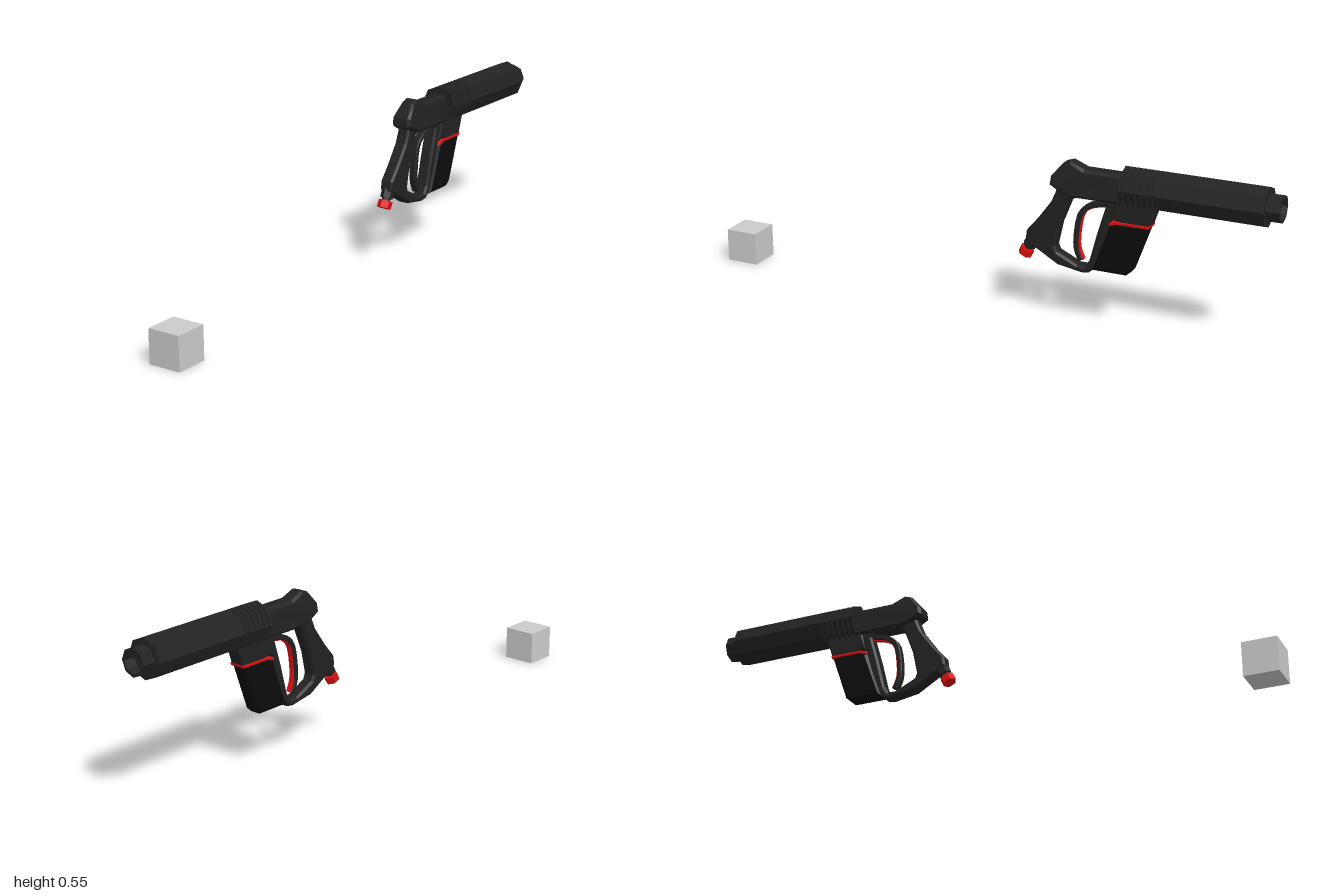
import * as THREE from 'three';

const AXIS_Y = 0.487; // height of the barrel axis

const paint = (color) => new THREE.MeshStandardMaterial({ color, flatShading: true });

export function createModel() {
  const group = new THREE.Group();
  const dark = paint(0x222222);
  const black = paint(0x0c0c0c);
  const red = paint(0xe01010);
  const grey = paint(0xcccccc);

  function add(name, geometry, material, parent = group) {
    const mesh = new THREE.Mesh(geometry, material);
    mesh.name = name;
    parent.add(mesh);
    return mesh;
  }

  // Bevelled side profile: points are [distance towards -z, height], centred on x = 0
  function profile(shape, halfWidth, bevel) {
    const geometry = new THREE.ExtrudeGeometry(shape, {
      depth: 2 * (halfWidth - bevel), bevelEnabled: bevel > 0, bevelSize: bevel,
      bevelThickness: bevel, bevelOffset: -bevel, bevelSegments: 1, curveSegments: 4,
    });
    return geometry.translate(0, 0, bevel - halfWidth).rotateY(Math.PI / 2);
  }
  const outline = (pts) => new THREE.Shape(pts.map(([u, v]) => new THREE.Vector2(u, v)));

  // Eight-sided turned part along -z: points are [radius, distance]
  function turned(pts) {
    const geometry = new THREE.LatheGeometry(pts.map(([r, u]) => new THREE.Vector2(r, u)), 8);
    return geometry.rotateX(-Math.PI / 2).translate(0, AXIS_Y, 0);
  }

  // Constant-width strip following a smooth path
  function strip(pts, offset, width) {
    const curve = new THREE.CatmullRomCurve3(pts.map(([u, v]) => new THREE.Vector3(u, v, 0)));
    const a = [], b = [];
    for (let i = 0; i <= 14; i++) {
      const p = curve.getPoint(i / 14), t = curve.getTangent(i / 14);
      const at = (d) => [p.x - t.y * d, p.y + t.x * d];
      a.push(at(offset - width / 2));
      b.unshift(at(offset + width / 2));
    }
    return outline([...a, ...b]);
  }

  // Barrel with hollow muzzle
  add('barrel', turned([[0, 0.6], [0.066, 0.6], [0.066, 0.955], [0.046, 0.957],
    [0.046, 1], [0.036, 1], [0.03, 0.965], [0, 0.965]]), dark);

  // Ribbed collar
  const ribs = [[0, 0.482]];
  for (let i = 0; i < 6; i++) {
    const u = 0.482 + i * 0.02;
    ribs.push([0.066, u], [0.066, u + 0.012], [0.058, u + 0.014], [0.058, u + 0.019]);
  }
  add('ribbedCollar', turned(ribs), dark);

  // Receiver: wide below, narrowing towards the top
  const receiver = profile(outline([[0.258, 0.447], [0.233, 0.462], [0.238, 0.492], [0.275, 0.537],
    [0.302, 0.546], [0.35, 0.526], [0.5, 0.526], [0.5, 0.43], [0.3, 0.43]]), 0.035, 0.009);
  const pos = receiver.attributes.position;
  for (let i = 0; i < pos.count; i++) {
    const k = THREE.MathUtils.smoothstep(pos.getY(i), 0.485, 0.54);
    pos.setX(i, pos.getX(i) * (1 - 0.32 * k));
  }
  receiver.computeVertexNormals();
  add('receiver', receiver, dark);

  // Grip and trigger guard in one loop
  const frame = outline([[0.258, 0.46], [0.25, 0.435], [0.236, 0.402], [0.19, 0.338], [0.15, 0.29],
    [0.146, 0.258], [0.18, 0.234], [0.26, 0.188], [0.345, 0.174], [0.37, 0.177], [0.39, 0.195],
    [0.425, 0.29], [0.455, 0.4], [0.48, 0.46]]);
  frame.holes.push(outline([[0.302, 0.417], [0.268, 0.33], [0.251, 0.25], [0.258, 0.232],
    [0.33, 0.198], [0.358, 0.198], [0.373, 0.222], [0.398, 0.32], [0.426, 0.415],
    [0.418, 0.432], [0.335, 0.432]]));
  add('gripAndGuard', profile(frame, 0.023, 0.007), dark);

  // Trigger with a red rear face
  const path = [[0.43, 0.42], [0.37, 0.405], [0.337, 0.375], [0.322, 0.3], [0.323, 0.25], [0.338, 0.212]];
  add('trigger', profile(strip(path, 0, 0.018), 0.013, 0.003), dark);
  add('triggerLining', profile(strip(path, 0.009, 0.004), 0.009, 0), red);

  // Housing below the collar, split by a red band
  add('upperHousing', profile(outline([[0.452, 0.375], [0.443, 0.366], [0.465, 0.45],
    [0.603, 0.45], [0.575, 0.366], [0.48, 0.366]]), 0.028, 0.006), dark);
  add('redBand', profile(outline([[0.437, 0.352], [0.443, 0.364], [0.468, 0.371],
    [0.578, 0.371], [0.575, 0.361], [0.47, 0.361]]), 0.0285, 0.002), red);
  add('lowerHousing', profile(outline([[0.382, 0.19], [0.441, 0.356], [0.468, 0.368],
    [0.575, 0.368], [0.518, 0.206], [0.5, 0.19]]), 0.028, 0.01), black);

  // Hose fitting at the foot of the grip
  const fitting = new THREE.Group();
  fitting.name = 'hoseFitting';
  fitting.position.set(0, 0.211, -0.142);
  fitting.rotation.x = -0.46;
  group.add(fitting);
  const hex = (name, r, h, y, material) =>
    add(name, new THREE.CylinderGeometry(r, r, h, 6).translate(0, y, 0), material, fitting);
  hex('redCap', 0.024, 0.026, 0, red);
  hex('fittingNeck', 0.014, 0.06, 0.03, dark);
  hex('fittingNut', 0.022, 0.034, 0.039, dark);

  // Separate plain cube
  const cube = add('cube', new THREE.BoxGeometry(0.114, 0.114, 0.114), grey);
  cube.position.set(-0.014, 0.057, 0.943);

  return group;
}
